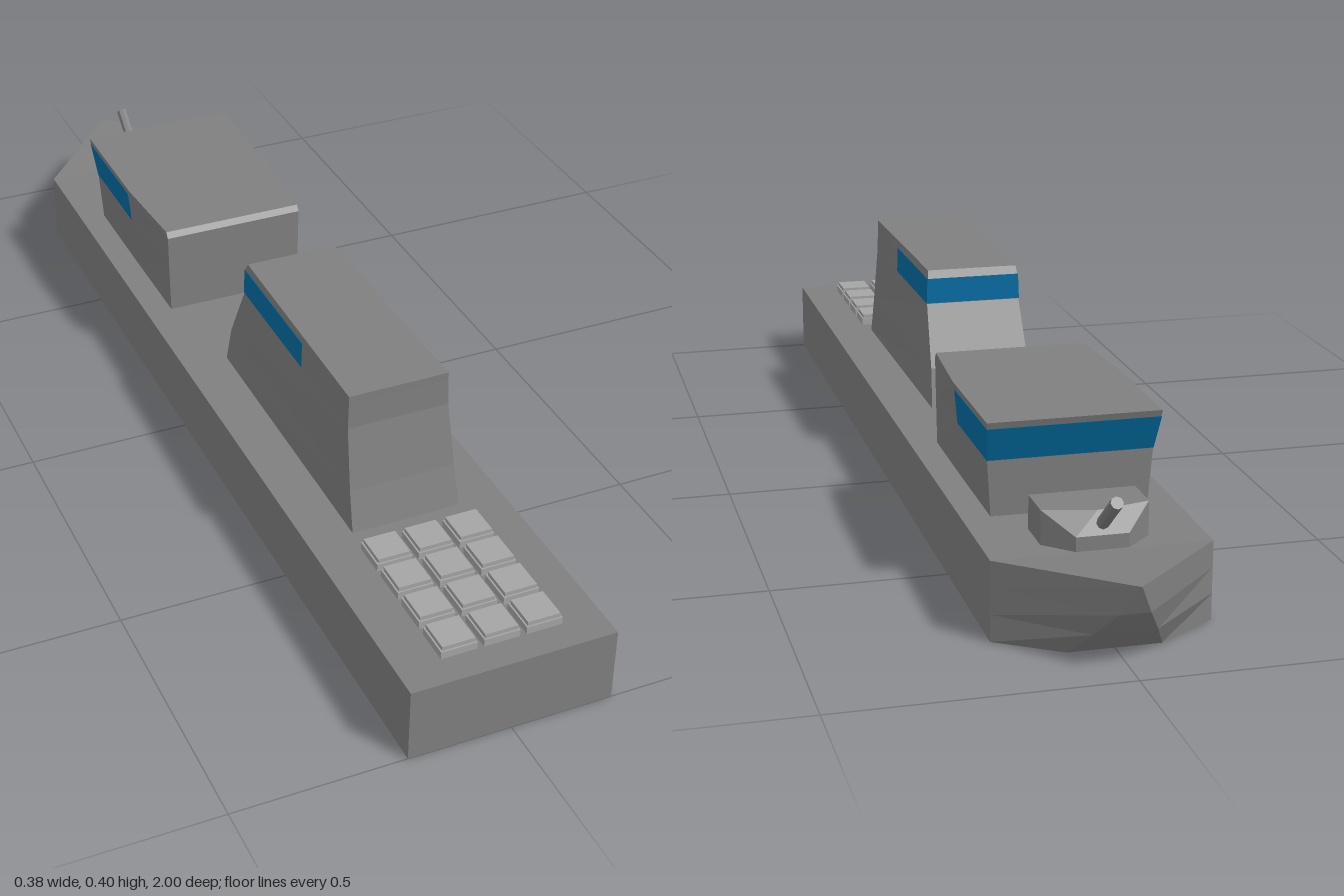
import * as THREE from 'three';

const paint = color => new THREE.MeshStandardMaterial({ color, flatShading: true });
const darkGrey = paint(0x7f7f7f);
const lightGrey = paint(0xa4a4a4);
const blue = paint(0x006ca2);

// Closed, mirror-symmetric solid. Each ring lists its +x points from stern to bow;
// rings run from bottom to top.
function loft(rings) {
  const n = rings[0].length, pos = [];
  const mirror = ([x, y, z]) => [-x, y, z];
  const quad = (a, b, c, d) => pos.push(...a, ...b, ...c, ...a, ...c, ...d);
  const full = rings.map(r => [...r, ...r.map(mirror).reverse()]);
  for (let i = 0; i < full.length - 1; i++) {
    for (let k = 0; k < 2 * n; k++) {
      const m = (k + 1) % (2 * n);
      quad(full[i][k], full[i][m], full[i + 1][m], full[i + 1][k]);
    }
  }
  const low = rings[0], high = rings[rings.length - 1];
  for (let k = 0; k < n - 1; k++) {
    quad(high[k], high[k + 1], mirror(high[k + 1]), mirror(high[k]));
    quad(low[k + 1], low[k], mirror(low[k]), mirror(low[k + 1]));
  }
  const g = new THREE.BufferGeometry();
  g.setAttribute('position', new THREE.Float32BufferAttribute(pos, 3));
  g.computeVertexNormals();
  return g;
}

// Four-sided ring: height, back half-width and z, front half-width and z
const level = (y, xb, zb, xf, zf) => [[xb, y, zb], [xf, y, zf]];

// Bridge ring: tapers toward the stern, parallel-sided from z = -0.39 forward
const bridgeLevel = (y, xb, zb, xf, zf) => [[xb, y, zb], [xf, y, -0.39], [xf, y, zf]];

// Hull ring: height at the shoulder, then half-width, height and z at the stem
const hullLevel = (y, xs, ys, zs) => [[0.188, y, 1], [0.188, y, -0.8], [xs, ys, zs]];

function addMesh(parent, name, geometry, material = darkGrey) {
  const mesh = new THREE.Mesh(geometry, material);
  mesh.name = name;
  parent.add(mesh);
  return mesh;
}

export function createModel() {
  const ship = new THREE.Group();
  ship.name = 'warship';

  // Hull with pointed, undercut bow
  addMesh(ship, 'hull', loft([
    hullLevel(0, 0.08, 0, -0.87),
    hullLevel(0.047, 0.054, 0.05, -0.924),
    hullLevel(0.093, 0.026, 0.1, -0.972),
    hullLevel(0.14, 0.001, 0.156, -1),
  ]));

  // Aft deckhouse with sloping ends
  addMesh(ship, 'aftDeckhouse', loft([
    level(0.139, 0.103, 0.596, 0.1, 0.005),
    level(0.215, 0.1, 0.575, 0.097, 0.024),
    level(0.33, 0.0955, 0.551, 0.092, 0.08),
    level(0.38, 0.094, 0.55, 0.09, 0.08),
    level(0.395, 0.094, 0.55, 0.088, 0.088),
  ]));
  addMesh(ship, 'aftWindows', loft([
    level(0.331, 0.0947, 0.35, 0.093, 0.079),
    level(0.38, 0.093, 0.35, 0.091, 0.079),
  ]), blue);

  // Forward bridge, flaring outward toward the bow
  addMesh(ship, 'bridge', loft([
    bridgeLevel(0.139, 0.137, -0.2, 0.138, -0.605),
    bridgeLevel(0.24, 0.139, -0.2, 0.145, -0.609),
    bridgeLevel(0.304, 0.14, -0.2, 0.151, -0.632),
    bridgeLevel(0.315, 0.14, -0.208, 0.152, -0.636),
  ]));
  addMesh(ship, 'bridgeWindows', loft([
    level(0.241, 0.1457, -0.4, 0.1457, -0.61),
    level(0.303, 0.1515, -0.4, 0.1515, -0.633),
  ]), blue);

  // Gun: faceted turret and raised barrel
  const gun = new THREE.Group();
  gun.name = 'deckGun';
  ship.add(gun);
  addMesh(gun, 'turret', loft([
    [[0.092, 0.138, -0.677], [0.092, 0.138, -0.752], [0.045, 0.138, -0.797]],
    [[0.092, 0.2, -0.677], [0.092, 0.2, -0.752], [0.045, 0.165, -0.797]],
    [[0.09, 0.2, -0.678], [0.09, 0.2, -0.752], [0.002, 0.2, -0.773]],
  ]));
  const start = new THREE.Vector3(-0.003, 0.165, -0.765);
  const end = new THREE.Vector3(-0.003, 0.242, -0.86);
  const dir = end.clone().sub(start);
  const barrel = addMesh(gun, 'barrel', new THREE.CylinderGeometry(0.011, 0.011, dir.length(), 8));
  barrel.position.copy(start).lerp(end, 0.5);
  barrel.quaternion.setFromUnitVectors(new THREE.Vector3(0, 1, 0), dir.normalize());

  // Grid of stepped launch hatches on the stern deck
  const baseGeometry = new THREE.BoxGeometry(0.066, 0.016, 0.066);
  const lidGeometry = new THREE.BoxGeometry(0.06, 0.008, 0.06);
  const hatches = new THREE.Group();
  hatches.name = 'launchHatches';
  ship.add(hatches);
  for (let row = 0; row < 4; row++) {
    for (let col = 0; col < 3; col++) {
      const hatch = new THREE.Group();
      hatch.name = 'hatch';
      hatch.position.set(-0.075 + col * 0.078, 0, 0.673 + row * 0.08);
      addMesh(hatch, 'hatchBase', baseGeometry, lightGrey).position.y = 0.146;
      addMesh(hatch, 'hatchLid', lidGeometry, lightGrey).position.y = 0.158;
      hatches.add(hatch);
    }
  }
  return ship;
}
